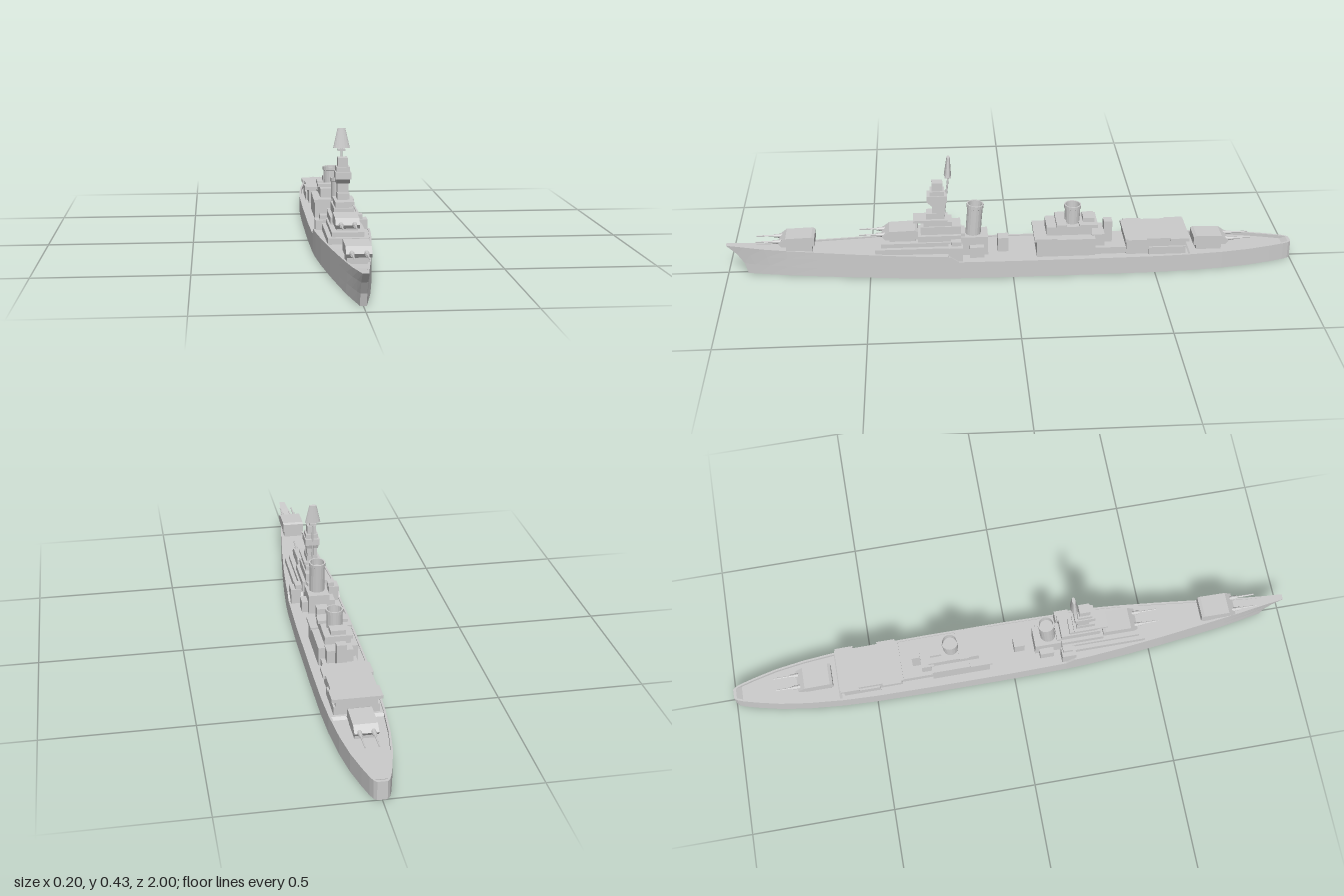
import * as THREE from 'three';

const grey = new THREE.MeshStandardMaterial({ color: 0xcccccc, flatShading: true, side: THREE.DoubleSide });

function add(parent, name, geometry, x = 0, y = 0, z = 0) {
  const mesh = new THREE.Mesh(geometry, grey);
  mesh.name = name;
  mesh.position.set(x, y, z);
  parent.add(mesh);
  return mesh;
}

// Box given by half width, bottom and top, rear and front, and optional sideways offset
function block(parent, name, half, y0, y1, z0, z1, x = 0) {
  return add(parent, name, new THREE.BoxGeometry(half * 2, y1 - y0, z1 - z0), x, (y0 + y1) / 2, (z0 + z1) / 2);
}

// Side profile of [z, y] points extruded across the width
function slab(parent, name, half, profile, x = 0) {
  const shape = new THREE.Shape(profile.map(p => new THREE.Vector2(...p)));
  const geometry = new THREE.ExtrudeGeometry(shape, { depth: half * 2, bevelEnabled: false });
  geometry.translate(0, 0, -half).rotateY(-Math.PI / 2);
  return add(parent, name, geometry, x);
}

// Hull lofted from stations: z, half width, rim height, deck height
function hullGeometry() {
  const stations = [
    [1, 0.01, 0.112, 0.112], [0.94, 0.016, 0.106, 0.106], [0.87, 0.025, 0.1, 0.097], [0.79, 0.036, 0.097, 0.092],
    [0.68, 0.05, 0.094, 0.089], [0.55, 0.066, 0.091, 0.086], [0.4, 0.082, 0.088, 0.084], [0.28, 0.092, 0.086, 0.083],
    [0.22, 0.095, 0.085, 0.082], [0.19, 0.096, 0.064, 0.06], [0, 0.099, 0.064, 0.06], [-0.3, 0.099, 0.064, 0.06],
    [-0.5, 0.097, 0.064, 0.06], [-0.62, 0.092, 0.064, 0.06], [-0.63, 0.091, 0.064, 0.052], [-0.74, 0.081, 0.064, 0.052],
    [-0.84, 0.066, 0.064, 0.052], [-0.92, 0.047, 0.064, 0.052], [-0.97, 0.033, 0.064, 0.052],
    [-0.99, 0.025, 0.064, 0.064], [-1, 0.016, 0.064, 0.064]];
  const levels = [[0, 0.07], [0.35, 0.06], [0.7, 0.035], [1, 0]];
  const pos = [], index = [];
  for (const [z, w, rim, deck] of stations) {
    const rake = Math.max(0, (z - 0.7) / 0.3) ** 2;
    const inner = w - Math.min(0.007, w * 0.3);
    const side = levels.map(([f, r]) => [w, rim * f, z - r * rake]);
    side.push([inner, rim, z], [inner, deck, z]);
    const other = side.map(p => [-p[0], p[1], p[2]]).reverse();
    pos.push(...side.flat(), ...other.flat());
  }
  const n = 12, last = (stations.length - 1) * n;
  const quad = (a, b, c, d) => index.push(a, b, c, a, c, d);
  for (let i = 0; i < stations.length - 1; i++) {
    for (let j = 0; j < n; j++) {
      const k = (j + 1) % n;
      quad(i * n + j, (i + 1) * n + j, (i + 1) * n + k, i * n + k);
    }
  }
  // Stem and stern faces
  for (let j = 0; j < 5; j++) {
    quad(j, j + 1, n - 2 - j, n - 1 - j);
    quad(last + n - 1 - j, last + n - 2 - j, last + j + 1, last + j);
  }
  const geometry = new THREE.BufferGeometry();
  geometry.setAttribute('position', new THREE.Float32BufferAttribute(pos, 3));
  geometry.setIndex(index);
  const flat = geometry.toNonIndexed();
  flat.computeVertexNormals();
  return flat;
}

// Twin gun turret facing +z, with its origin at the rear on the deck
function turret(parent, name, y, z, base, turned) {
  const g = new THREE.Group();
  g.name = name;
  block(g, 'turretBase', 0.034, 0, base, 0.01, 0.1);
  slab(g, 'turretHouse', 0.039, [[0, base], [0.115, base], [0.125, base + 0.013], [0.1, base + 0.032], [0.01, base + 0.035], [0, base + 0.03]]);
  for (const s of [-1, 1]) {
    const collar = add(g, 'gunCollar', new THREE.CylinderGeometry(0.006, 0.008, 0.03, 10), s * 0.022, base + 0.014, 0.13);
    const barrel = add(g, 'gunBarrel', new THREE.CylinderGeometry(0.0025, 0.004, 0.1, 8), s * 0.022, base + 0.015, 0.155);
    collar.rotation.x = barrel.rotation.x = Math.PI / 2;
  }
  g.position.set(0, y, z);
  if (turned) g.rotation.y = Math.PI;
  parent.add(g);
}

// Funnel with a wider rim and a hollow top
function funnel(parent, name, r, y0, y1, z, lean) {
  const h = y1 - y0;
  const profile = [[r * 0.9, 0], [r * 0.9, h - 0.014], [r, h - 0.012], [r, h], [r * 0.84, h], [r * 0.8, h - 0.025], [0, h - 0.025]];
  const mesh = add(parent, name, new THREE.LatheGeometry(profile.map(p => new THREE.Vector2(...p)), 18), 0, y0, z);
  mesh.rotation.x = -lean;
}

export function createModel() {
  const ship = new THREE.Group();
  ship.name = 'warship';
  add(ship, 'hull', hullGeometry());

  turret(ship, 'foreTurret', 0.088, 0.69, 0.026);
  turret(ship, 'raisedTurret', 0.117, 0.33, 0.012);
  turret(ship, 'aftTurret', 0.05, -0.645, 0.022, true);

  // Forward superstructure
  block(ship, 'foreDeckhouse', 0.066, 0.08, 0.105, 0.22, 0.48);
  block(ship, 'foreDeckhouseTop', 0.052, 0.105, 0.12, 0.2, 0.46);
  block(ship, 'bridgeBase', 0.045, 0.1, 0.142, 0.18, 0.33);
  block(ship, 'bridgeHouse', 0.033, 0.142, 0.172, 0.18, 0.32);
  block(ship, 'bridgeUpper', 0.028, 0.172, 0.188, 0.21, 0.31);
  block(ship, 'bridgeWing', 0.031, 0.188, 0.197, 0.225, 0.345);
  block(ship, 'bridgeCabin', 0.02, 0.197, 0.218, 0.235, 0.3);
  block(ship, 'towerLeg', 0.018, 0.21, 0.25, 0.237, 0.278);
  slab(ship, 'towerFlare', 0.022, [[0.235, 0.248], [0.28, 0.248], [0.296, 0.264], [0.23, 0.264]]);
  block(ship, 'towerPlatform', 0.026, 0.264, 0.287, 0.225, 0.296);
  block(ship, 'towerCabin', 0.022, 0.287, 0.303, 0.235, 0.285);
  block(ship, 'towerTop', 0.016, 0.303, 0.333, 0.24, 0.278);

  // Mast with its tapered aerial screen
  const mast = add(ship, 'mast', new THREE.CylinderGeometry(0.003, 0.004, 0.17, 8), 0, 0.28, 0.228);
  mast.rotation.x = -0.12;
  block(ship, 'mastCollar', 0.012, 0.349, 0.356, 0.21, 0.232);
  const screen = add(ship, 'aerialScreen', new THREE.CylinderGeometry(0.013, 0.028, 0.066, 16), 0, 0.392, 0.22);
  screen.scale.z = 0.45;
  screen.rotation.x = -0.06;

  // Forward funnel and the houses round it
  block(ship, 'funnelBase', 0.038, 0.06, 0.13, 0.085, 0.21);
  block(ship, 'funnelHouse', 0.03, 0.12, 0.142, 0.165, 0.2);
  funnel(ship, 'foreFunnel', 0.03, 0.12, 0.244, 0.137, 0.08);
  block(ship, 'midshipLocker', 0.02, 0.058, 0.113, 0.012, 0.05);
  for (const s of [-1, 1]) {
    block(ship, 'sideHouse', 0.018, 0.058, 0.115, 0.175, 0.225, s * 0.07);
    block(ship, 'sidePlatform', 0.012, 0.115, 0.13, 0.18, 0.215, s * 0.06);
    block(ship, 'funnelLocker', 0.012, 0.058, 0.1, 0.1, 0.15, s * 0.048);
  }

  // Aft superstructure
  block(ship, 'aftDeckhouse', 0.068, 0.058, 0.125, -0.29, -0.085);
  block(ship, 'aftRoof', 0.072, 0.121, 0.131, -0.155, -0.076);
  block(ship, 'aftHouse', 0.045, 0.131, 0.163, -0.28, -0.12);
  block(ship, 'aftPlatform', 0.052, 0.163, 0.174, -0.19, -0.155);
  block(ship, 'aftPlatformRear', 0.048, 0.158, 0.17, -0.3, -0.235);
  block(ship, 'aftCabin', 0.026, 0.17, 0.186, -0.29, -0.25);
  funnel(ship, 'aftFunnel', 0.03, 0.15, 0.23, -0.213, 0.02);
  block(ship, 'rearHouse', 0.045, 0.058, 0.13, -0.325, -0.28);
  block(ship, 'rearPost', 0.017, 0.058, 0.165, -0.355, -0.325);
  block(ship, 'rearStep', 0.06, 0.058, 0.085, -0.4, -0.285);

  // Aircraft hangar with overhanging roof
  block(ship, 'hangar', 0.068, 0.055, 0.113, -0.61, -0.4);
  block(ship, 'hangarSkirt', 0.075, 0.055, 0.088, -0.61, -0.48);
  block(ship, 'hangarRoof', 0.075, 0.111, 0.123, -0.622, -0.395);
  for (const s of [-1, 1]) {
    for (const z of [-0.44, -0.59]) {
      block(ship, 'roofEdge', 0.004, 0.111, 0.123, z - 0.03, z + 0.035, s * 0.079);
    }
  }
  return ship;
}
